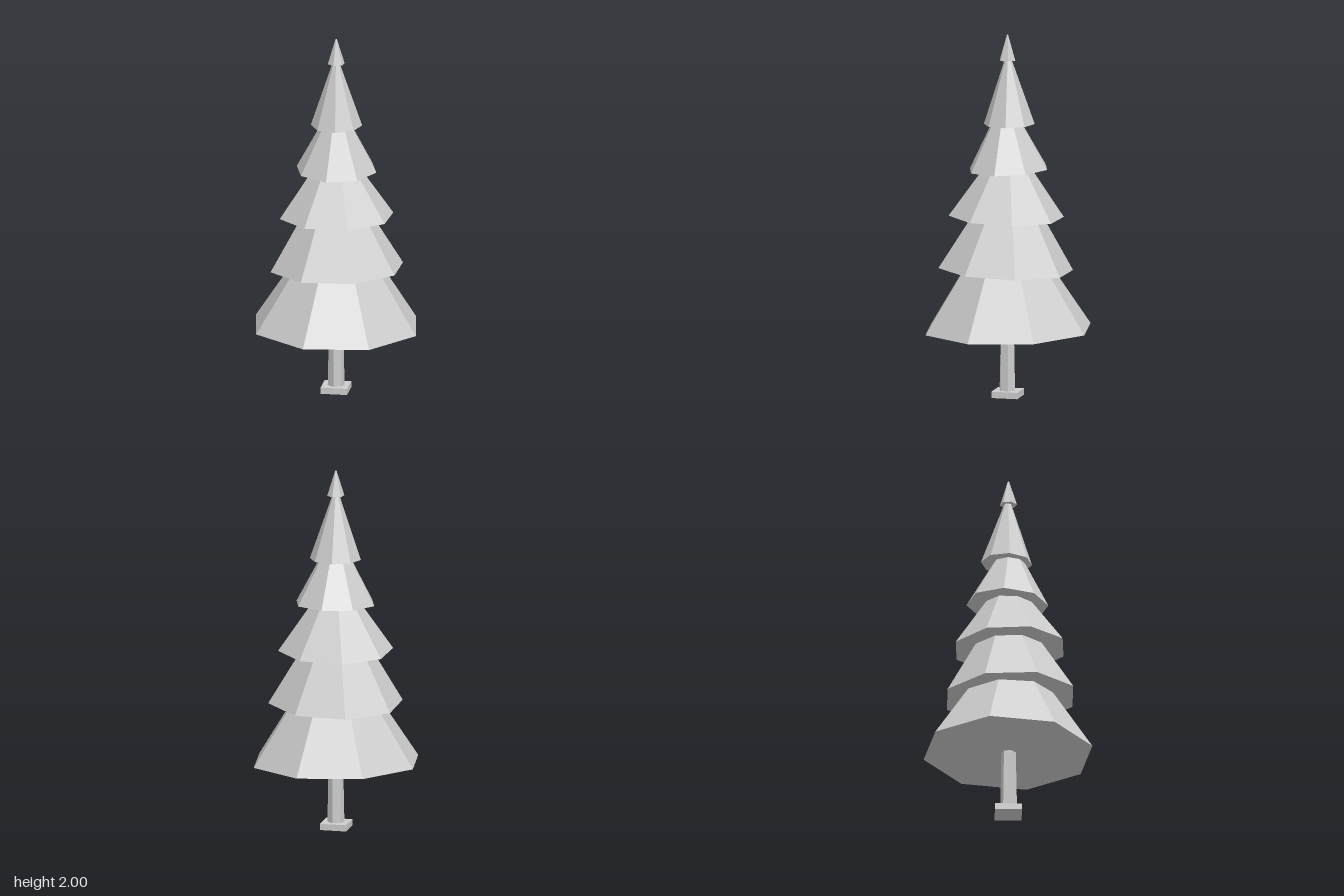
import * as THREE from 'three';

export function createModel() {
  const tree = new THREE.Group();
  tree.name = 'pineTree';
  const grey = new THREE.MeshStandardMaterial({ color: 0xcccccc });
  grey.name = 'light grey';
  grey.flatShading = true;

  // Adds a faceted frustum whose origin sits at the centre of its base
  function addFrustum(name, { x = 0, y = 0, z = 0, bottom, top, height, sides, turn = 0, tiltX = 0, tiltZ = 0 }) {
    const geometry = new THREE.CylinderGeometry(top, bottom, height, sides);
    geometry.rotateY(turn);
    geometry.translate(0, height / 2, 0);
    const mesh = new THREE.Mesh(geometry, grey);
    mesh.name = name;
    mesh.position.set(x, y, z);
    mesh.rotation.set(tiltX, 0, tiltZ);
    tree.add(mesh);
  }

  // Square foot, slightly turned
  const foot = new THREE.Mesh(new THREE.BoxGeometry(0.146, 0.035, 0.146), grey);
  foot.name = 'foot';
  foot.position.set(0, 0.0175, 0.002);
  foot.rotation.y = 0.186;
  tree.add(foot);

  // Tapered six-sided trunk
  addFrustum('trunk', { x: 0.002, y: 0.01, z: 0.003, bottom: 0.047, top: 0.039, height: 0.4, sides: 6 });

  // Branch tiers: each tapers towards its apex and stops just inside the next one
  const tiers = [
    { x: 0, z: 0, y: 0.372, r: 0.47, apex: 1.09, end: 0.73, turn: -0.047, tiltX: 0.012, tiltZ: -0.016 },
    { x: 0.008, z: 0.01, y: 0.705, r: 0.37, apex: 1.32, end: 1.02, turn: -0.21, tiltX: -0.028, tiltZ: 0.028 },
    { x: 0.006, z: 0.008, y: 0.997, r: 0.315, apex: 1.45, end: 1.28, turn: -0.245, tiltX: -0.024, tiltZ: 0.016 },
    { x: 0.002, z: -0.004, y: 1.258, r: 0.224, apex: 1.67, end: 1.53, turn: 0.085, tiltX: 0.04, tiltZ: -0.012 },
    { x: 0, z: -0.008, y: 1.508, r: 0.14, apex: 1.92, end: 1.88, turn: 0.288, tiltX: 0.02, tiltZ: 0 },
  ];
  tiers.forEach(({ x, y, z, r, apex, end, turn, tiltX, tiltZ }, i) => {
    addFrustum(`branchTier${i + 1}`, {
      x, y, z, turn, tiltX, tiltZ, sides: 8,
      bottom: r, top: r * (apex - end) / (apex - y), height: end - y,
    });
  });

  // Six-sided tip
  addFrustum('treeTip', { x: 0.002, y: 1.86, z: 0.002, bottom: 0.047, top: 0.004, height: 0.14, sides: 6 });

  return tree;
}
